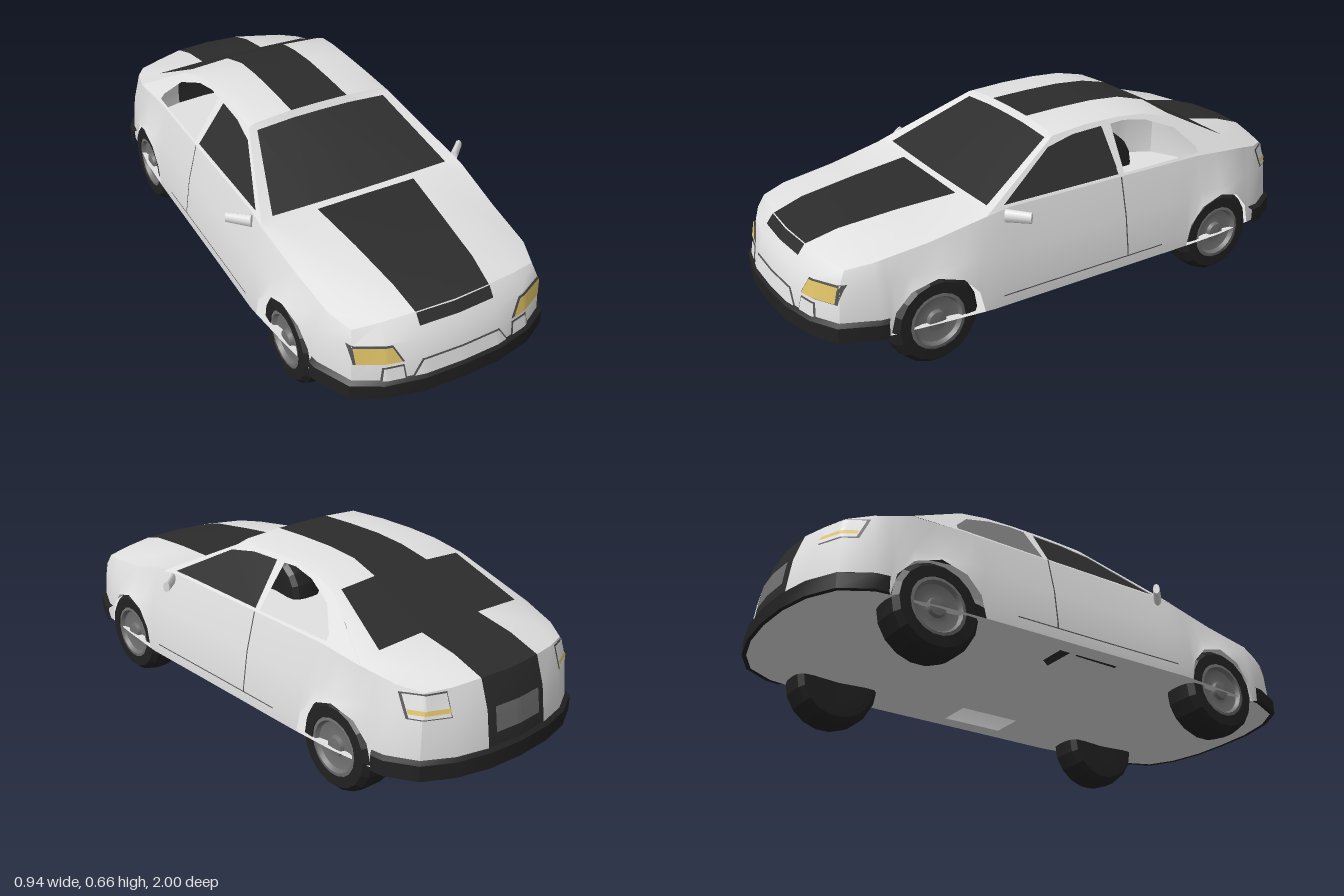
import * as THREE from 'three';
import { toCreasedNormals } from 'three/addons/utils/BufferGeometryUtils.js';

const material = (name, color, side = THREE.FrontSide) => {
  const m = new THREE.MeshStandardMaterial({ color, side });
  m.name = name;
  return m;
};
const lerp = (a, b, t) => a + (b - a) * t;

// Looks up columns of a table whose first column (z) decreases
function lookup(table, z) {
  for (let i = 1; i < table.length; i++) {
    const a = table[i - 1], b = table[i];
    if (z >= b[0] || i === table.length - 1) return a.map((v, k) => lerp(v, b[k], (z - a[0]) / (b[0] - a[0])));
  }
}

const FLOOR = 0.155, WHEEL_Z = 0.59, ARCH = 0.162;
const railX = (y) => 0.385 - 0.11 * (y - 0.475) / 0.16;

// Upper skin sections: zEdge, xEdge, yEdge, xInner, yInner, xStripe, yCentre, zCentre
const sections = [
  [0.865, 0.335, 0.385, 0.245, 0.395, 0.135, 0.405, 0.912],
  [0.78, 0.365, 0.40, 0.26, 0.425, 0.147, 0.435, 0.80],
  [0.59, 0.378, 0.425, 0.28, 0.448, 0.165, 0.457, 0.60],
  [0.39, 0.39, 0.465, 0.345, 0.467, 0.187, 0.473, 0.387],
  [0.355, railX(0.483), 0.483, 0.338, 0.477, 0.187, 0.479, 0.365],
  [0.075, railX(0.627), 0.627, 0.25, 0.625, 0.11, 0.634, 0.07],
  [0.06, railX(0.635), 0.635, 0.25, 0.645, 0.11, 0.656, 0.055],
  [-0.08, railX(0.645), 0.645, 0.22, 0.654, 0.11, 0.66, -0.08],
  [-0.22, railX(0.645), 0.645, 0.22, 0.654, 0.11, 0.66, -0.22],
  [-0.34, railX(0.635), 0.635, 0.22, 0.645, 0.11, 0.65, -0.34],
  [-0.45, railX(0.605), 0.605, 0.265, 0.612, 0.12, 0.622, -0.45],
  [-0.68, 0.39, 0.465, 0.315, 0.495, 0.13, 0.502, -0.678],
  [-0.80, 0.36, 0.44, 0.27, 0.465, 0.13, 0.476, -0.82],
  [-0.875, 0.315, 0.425, 0.23, 0.428, 0.13, 0.437, -0.94],
].map(([zE, xE, yE, xI, yI, xS, yC, zC]) => {
  const z = (x) => lerp(zC, zE, (x / xE) ** 2);
  return [[xE, yE, zE], [xI, yI, z(xI)], [xS, lerp(yI, yC, 0.9), z(xS)], [0, yC, zC]];
});
const WINDSCREEN = 4, REAR_WINDOW = 10;

// Half width at the sills, and the shoulder line: z, x, (y)
const widths = [[0.8, 0.402], [0.59, 0.427], [0.4, 0.445], [0, 0.44], [-0.4, 0.437], [-0.59, 0.43], [-0.8, 0.402]];
const shoulder = [[0.78, 0.365, 0.40], [0.59, 0.378, 0.425], [0.39, 0.39, 0.465], [0.3, 0.385, 0.475],
  [-0.5, 0.385, 0.475], [-0.68, 0.39, 0.465], [-0.8, 0.36, 0.44]];

// Stations round half the body, from nose centre to tail centre
function makeStations() {
  const arch = [ARCH, 0.143, 0.09, 0, -0.09, -0.143, -ARCH];
  const mids = [0.78, ...arch.map((d) => WHEEL_Z + d), 0.39, 0.3, 0.1, -0.15, -0.35, ...arch.map((d) => d - WHEEL_Z), -0.8];
  const end = (base, tops) => base.map(([x, z], i) => ({ x, z, low: FLOOR, top: tops[i] }));
  return [
    ...end([[0, 0.985], [0.135, 0.98], [0.26, 0.952], [0.352, 0.9]], [...sections[0]].reverse()),
    ...mids.map((z) => {
      const d = Math.abs(z) - WHEEL_Z, [, tx, ty] = lookup(shoulder, z);
      return { x: lookup(widths, z)[1], z, low: FLOOR + Math.sqrt(Math.max(0, ARCH ** 2 - d ** 2)), top: [tx, ty, z] };
    }),
    ...end([[0.345, -0.895], [0.245, -0.95], [0.13, -0.978], [0, -0.987]], sections.at(-1)),
  ];
}
const stations = makeStations();

// Point on a station at height y
function ringAt(s, y) {
  const t = y < 0.34 ? 0.35 * Math.max(0, (y - 0.21) / 0.13) : 0.35 + 0.65 * (y - 0.34) / (s.top[1] - 0.34);
  return [lerp(s.x, s.top[0], t), y, lerp(s.z, s.top[2], t)];
}

// Depth of the nose (end 1) or tail (end -1) surface at x, y
function endZ(x, y, end) {
  const list = (end > 0 ? stations.slice(0, 8) : stations.slice(-8).reverse()).map((s) => ringAt(s, y));
  let i = 1;
  while (i < list.length - 1 && list[i][0] < x) i++;
  const a = list[i - 1], b = list[i];
  return lerp(a[2], b[2], (x - a[0]) / (b[0] - a[0]));
}

export function createModel() {
  const car = new THREE.Group();
  car.name = 'car';
  const paint = material('body paint', 0xe2e2e2, THREE.DoubleSide);
  const black = material('stripe black', 0x2c2c2c, THREE.DoubleSide);
  const glass = material('dark glass', 0x2d2d2d, THREE.DoubleSide);
  const rubber = material('rubber', 0x222222);
  const metal = material('wheel grey', 0x707070);
  const trim = material('trim grey', 0x555555);
  const lamp = material('lamp yellow', 0xe0c368);

  const addMesh = (name, geometry, mat, parent = car) => {
    const mesh = new THREE.Mesh(geometry, mat);
    mesh.name = name;
    parent.add(mesh);
    return mesh;
  };

  // Collects quads, mirrored to both sides, into named parts
  const parts = new Map();
  const tri = (out, ...p) => {
    const [a, b, c] = p.map((v) => new THREE.Vector3(...v));
    if (b.sub(a).cross(c.sub(a)).length() > 1e-8) out.push(...p.flat());
  };
  const flip = ([x, y, z]) => [-x, y, z];
  const quad = (name, mat, a, b, c, d) => {
    if (!parts.has(name)) parts.set(name, { mat, pos: [] });
    const { pos } = parts.get(name);
    tri(pos, a, b, c); tri(pos, a, c, d);
    const [e, f, g, h] = [b, a, d, c].map(flip);
    tri(pos, e, f, g); tri(pos, e, g, h);
  };

  // Body sides, nose and tail
  const rows = (s) => [[s.x, s.low, s.z], [s.x, Math.max(0.21, s.low), s.z], ringAt(s, 0.34), s.top];
  for (let i = 0; i + 1 < stations.length; i++) {
    const a = rows(stations[i]), b = rows(stations[i + 1]);
    const striped = i === stations.length - 2;
    for (let j = 0; j < 3; j++)
      quad(striped ? 'rearStripe' : 'bodyShell', striped ? black : paint, a[j], b[j], b[j + 1], a[j + 1]);
  }

  // Hood, windscreen, roof, rear window and deck
  for (let i = 0; i + 1 < sections.length; i++) {
    const a = sections[i], b = sections[i + 1];
    const window = i === WINDSCREEN ? 'windscreen' : i === REAR_WINDOW ? 'rearWindow' : null;
    const striped = i !== WINDSCREEN - 1 && i !== WINDSCREEN + 1;
    for (let j = 0; j < 3; j++) {
      const [name, mat] = window && j > 0 ? [window, glass] : j === 2 && striped ? ['topStripe', black] : ['upperShell', paint];
      quad(name, mat, a[j], b[j], b[j + 1], a[j + 1]);
    }
  }

  // Bumpers wrapped round each end
  const bumperRows = (s) => [[0, FLOOR], [1, FLOOR], [1, 0.208], [0, 0.218]]
    .map(([k, y]) => [s.x * (1 + 0.035 * k), y, s.z * (1 + 0.013 * k)]);
  for (let i = 0; i + 1 < stations.length; i++) {
    const s = stations[i], n = stations[i + 1];
    if (Math.min(Math.abs(s.z), Math.abs(n.z)) < 0.75) continue;
    const a = bumperRows(s), b = bumperRows(n);
    for (let j = 0; j < 3; j++) quad(s.z > 0 ? 'frontBumper' : 'rearBumper', rubber, a[j], b[j], b[j + 1], a[j + 1]);
  }

  // Thin plates following the nose or tail; corners run bl, br, tr, tl
  const plate = (name, mat, end, corners, off) => {
    const at = (u, v) => {
      const [x, y] = [0, 1].map((k) => lerp(lerp(corners[0][k], corners[1][k], u), lerp(corners[3][k], corners[2][k], u), v));
      return [x, y, endZ(x, y, end) + end * off];
    };
    const U = 18, V = 4;
    for (let i = 0; i < U; i++) for (let j = 0; j < V; j++) {
      const q = [at(i / U, j / V), at((i + 1) / U, j / V), at((i + 1) / U, (j + 1) / V), at(i / U, (j + 1) / V)];
      quad(name, mat, ...(end > 0 ? q : q.reverse()));
    }
  };
  const box = (x0, x1, y0, y1) => [[x0, y0], [x1, y0], [x1, y1], [x0, y1]];
  plate('headlightFrame', trim, 1, [[0.198, 0.275], [0.347, 0.278], [0.355, 0.345], [0.232, 0.339]], 0.004);
  plate('headlight', lamp, 1, [[0.207, 0.279], [0.341, 0.282], [0.347, 0.34], [0.236, 0.335]], 0.009);
  plate('fogLightFrame', trim, 1, [[0.195, 0.218], [0.276, 0.218], [0.268, 0.265], [0.2, 0.265]], 0.003);
  plate('fogLight', paint, 1, [[0.201, 0.218], [0.271, 0.218], [0.264, 0.261], [0.205, 0.261]], 0.006);
  plate('grilleFrame', trim, 1, [[0, 0.218], [0.176, 0.218], [0.142, 0.271], [0, 0.271]], 0.003);
  plate('grille', paint, 1, [[0, 0.218], [0.171, 0.218], [0.139, 0.267], [0, 0.267]], 0.006);
  plate('hoodStripeLip', black, 1, box(0, 0.135, 0.371, 0.403), 0.003);
  plate('tailLightFrame', trim, -1, box(0.25, 0.361, 0.344, 0.422), 0.003);
  plate('tailLight', paint, -1, box(0.254, 0.357, 0.348, 0.418), 0.006);
  plate('tailLightStrip', lamp, -1, box(0.254, 0.357, 0.36, 0.374), 0.009);
  plate('rearPlate', metal, -1, box(0, 0.1, 0.262, 0.345), 0.005);

  // Door and sill seams
  const sidePoint = (z, y) => {
    const t = y < 0.34 ? 0.35 * Math.max(0, (y - 0.21) / 0.13) : 0.35 + 0.65 * (y - 0.34) / 0.135;
    return [lerp(lookup(widths, z)[1], 0.385, t) + 0.002, y, z];
  };
  const seam = (z0, z1, y0, y1) =>
    quad('doorSeams', trim, sidePoint(z0, y0), sidePoint(z1, y0), sidePoint(z1, y1), sidePoint(z0, y1));
  seam(-0.152, -0.157, 0.195, 0.21); seam(-0.152, -0.157, 0.21, 0.34); seam(-0.152, -0.157, 0.34, 0.475);
  seam(0.36, 0, 0.192, 0.196); seam(0, -0.31, 0.192, 0.196);

  for (const [name, { mat, pos }] of parts) {
    const g = new THREE.BufferGeometry();
    g.setAttribute('position', new THREE.Float32BufferAttribute(pos, 3));
    g.computeVertexNormals();
    addMesh(name, toCreasedNormals(g, 0.5), mat);
  }

  // Cabin sides with a glazed door window and an open rear window
  const panel = [[0.39, 0.465], [0.06, 0.635], [-0.08, 0.645], [-0.22, 0.645], [-0.34, 0.635], [-0.45, 0.605],
    [-0.68, 0.465], [-0.5, 0.475], [0.3, 0.475]];
  const doorWindow = [[0.32, 0.482], [0.09, 0.607], [-0.02, 0.626], [-0.143, 0.63], [-0.15, 0.482]];
  const rearOpening = [[-0.172, 0.482], [-0.182, 0.63], [-0.24, 0.632], [-0.33, 0.618], [-0.44, 0.575], [-0.505, 0.505], [-0.508, 0.485]];
  for (const s of [1, -1]) {
    const pts = (list) => list.map(([z, y]) => new THREE.Vector2(-s * z, y));
    const lean = (shape, off) => {
      const g = new THREE.ShapeGeometry(shape), p = g.attributes.position;
      for (let i = 0; i < p.count; i++) p.setXYZ(i, s * (railX(p.getY(i)) - off), p.getY(i), -s * p.getX(i));
      g.computeVertexNormals();
      return g;
    };
    const shape = new THREE.Shape(pts(panel));
    shape.holes.push(new THREE.Path(pts(doorWindow)), new THREE.Path(pts(rearOpening)));
    const side = s > 0 ? 'left' : 'right';
    addMesh(side + 'CabinSide', lean(shape, 0), paint);
    addMesh(side + 'DoorGlass', lean(new THREE.Shape(pts(doorWindow)), 0.004), glass);

    // Door mirror
    const mirror = addMesh(side + 'Mirror', new THREE.CylinderGeometry(0.02, 0.024, 0.088, 8), paint);
    mirror.geometry.scale(1, 1, 0.6).rotateZ(-Math.PI / 2);
    mirror.position.set(s * 0.43, 0.456, 0.293);
    mirror.rotation.y = s > 0 ? 0.75 : Math.PI - 0.75;
  }

  // Underside with two openings
  const outline = [...stations.map((p) => [p.x, p.z]), ...stations.slice(1, -1).reverse().map((p) => [-p.x, p.z])];
  const under = new THREE.Shape(outline.map(([x, z]) => new THREE.Vector2(x, z)));
  for (const s of [1, -1])
    under.holes.push(new THREE.Path(box(0.245, 0.375, -0.1, 0.14).map(([x, z]) => new THREE.Vector2(s * x, z))));
  addMesh('underside', new THREE.ShapeGeometry(under).rotateX(Math.PI / 2).translate(0, FLOOR, 0), paint);

  // Wheels: profiles as radius, distance along the axle
  const turned = (profile, sides, crease) => toCreasedNormals(
    new THREE.LatheGeometry(profile.map(([r, x]) => new THREE.Vector2(r, x)), sides).rotateZ(-Math.PI / 2), crease);
  const tyre = turned([[0, -0.06], [0.1, -0.072], [0.137, -0.07], [0.154, -0.05], [0.16, -0.02], [0.16, 0.02],
    [0.154, 0.05], [0.137, 0.07], [0.1, 0.072], [0.098, 0.05]], 18, 0.2);
  const rim = turned([[0.1, 0.045], [0.1, 0.068], [0.088, 0.07], [0.08, 0.056], [0.05, 0.05], [0.034, 0.052],
    [0.03, 0.066], [0.012, 0.068], [0, 0.068]], 24, 0.4);
  for (const s of [1, -1]) for (const e of [1, -1]) {
    const wheel = new THREE.Group();
    wheel.name = (e > 0 ? 'front' : 'rear') + (s > 0 ? 'Left' : 'Right') + 'Wheel';
    addMesh('tyre', tyre, rubber, wheel);
    addMesh('rim', rim, metal, wheel);
    wheel.position.set(s * 0.349, 0.16, e * WHEEL_Z);
    wheel.rotation.y = s > 0 ? 0 : Math.PI;
    car.add(wheel);
  }
  return car;
}
